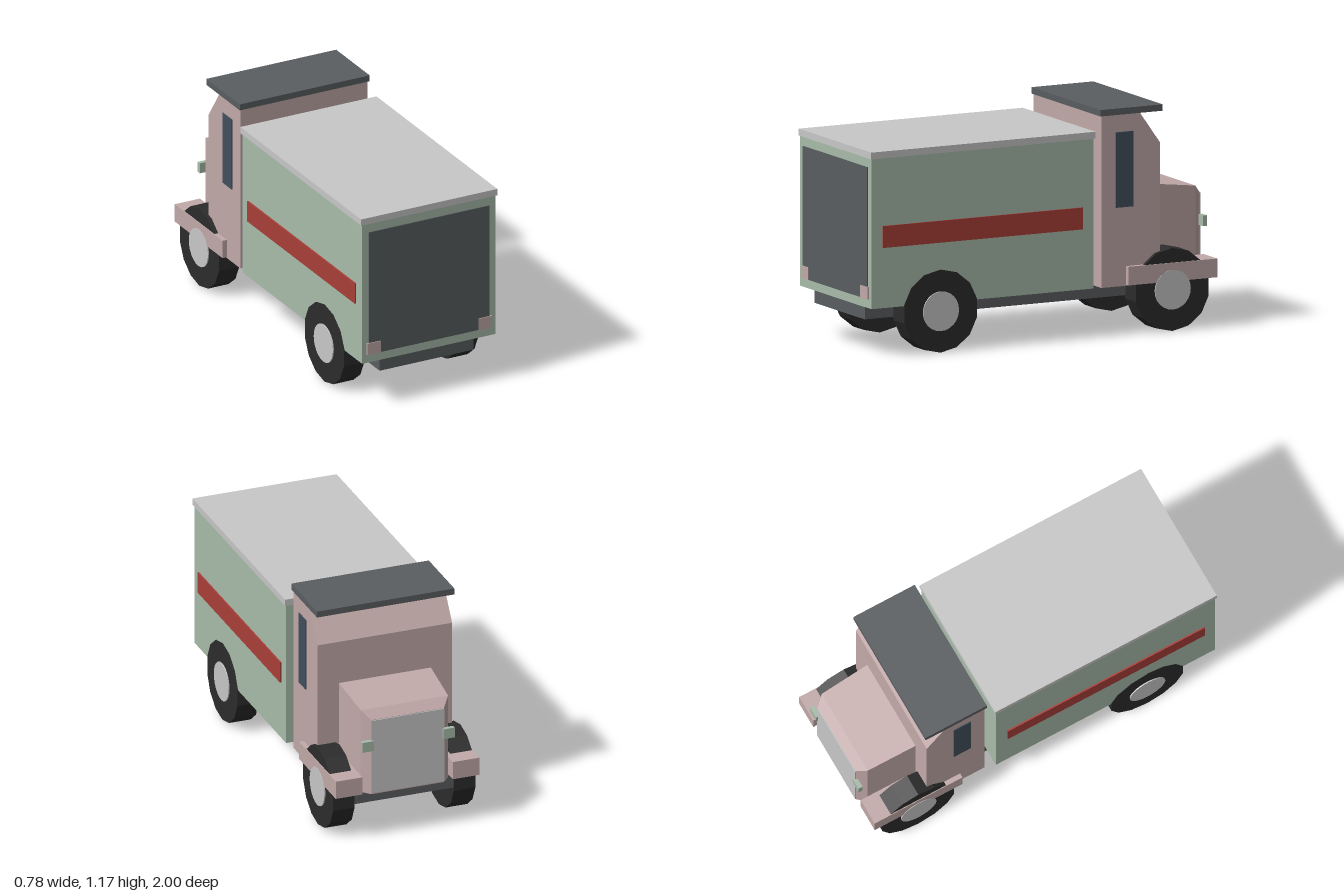
import * as THREE from 'three';
import { ConvexGeometry } from 'three/addons/geometries/ConvexGeometry.js';

const mat = (name, color) => {
  const m = new THREE.MeshStandardMaterial({ color, flatShading: true });
  m.name = name;
  return m;
};

export function createModel() {
  const truck = new THREE.Group();
  truck.name = 'deliveryTruck';

  const green = mat('paleGreen', 0xa8bcaa);
  const pink = mat('dustyPink', 0xc3aaaa);
  const grey = mat('lightGrey', 0xc8c8c8);
  const slate = mat('slateGrey', 0x5a5e61);
  const red = mat('stripeRed', 0xaa3f39);
  const glass = mat('darkBlueGlass', 0x414f5d);
  const rubber = mat('tyreBlack', 0x2c2c2c);

  const add = (name, geometry, material) => {
    const mesh = new THREE.Mesh(geometry, material);
    mesh.name = name;
    truck.add(mesh);
    return mesh;
  };
  // Box given by its extents on each axis
  const box = (name, material, [x0, x1], [y0, y1], [z0, z1]) => {
    const g = new THREE.BoxGeometry(x1 - x0, y1 - y0, z1 - z0);
    g.translate((x0 + x1) / 2, (y0 + y1) / 2, (z0 + z1) / 2);
    return add(name, g, material);
  };
  // The same box on both sides
  const pair = (name, material, [x0, x1], y, z) => {
    box(name + 'Left', material, [x0, x1], y, z);
    box(name + 'Right', material, [-x1, -x0], y, z);
  };

  // Chassis and cargo body
  box('chassis', slate, [-0.27, 0.27], [0.178, 0.25], [-0.935, 0.967]);
  box('cargoBody', green, [-0.383, 0.383], [0.25, 1.02], [-0.28, 0.99]);
  box('cargoRoof', grey, [-0.391, 0.391], [1.02, 1.055], [-0.287, 0.995]);
  box('rearDoor', slate, [-0.346, 0.346], [0.296, 0.973], [0.988, 0.996]);
  pair('tailLight', pink, [0.281, 0.358], [0.296, 0.36], [0.99, 1.0]);
  pair('sideStripe', red, [0.382, 0.391], [0.56, 0.672], [-0.215, 0.927]);

  // Cab, extruded across x from its side profile (z, y)
  const profile = new THREE.Shape([
    [-0.335, 0.245], [-0.335, 1.127], [-0.555, 1.127], [-0.67, 0.965], [-0.67, 0.245],
  ].map(([z, y]) => new THREE.Vector2(-z, y)));
  const cab = new THREE.ExtrudeGeometry(profile, { depth: 0.73, bevelEnabled: false });
  cab.translate(0, 0, -0.365);
  cab.rotateY(Math.PI / 2);
  add('cab', cab, pink);
  box('cabRoof', slate, [-0.373, 0.373], [1.127, 1.16], [-0.681, -0.326]);
  pair('cabWindow', glass, [0.363, 0.37], [0.65, 1.037], [-0.516, -0.417]);

  // Hood: sections of z, half width and top height
  const corners = [];
  for (const [z, w, top] of [[-0.66, 0.25, 0.736], [-0.94, 0.237, 0.7], [-0.985, 0.197, 0.657]]) {
    for (const x of [-w, w]) {
      corners.push(new THREE.Vector3(x, 0.243, z), new THREE.Vector3(x, top, z));
    }
  }
  add('hood', new ConvexGeometry(corners), pink);
  box('grille', grey, [-0.197, 0.197], [0.25, 0.655], [-0.99, -0.982]);
  pair('headlight', green, [0.188, 0.25], [0.49, 0.545], [-1.0, -0.977]);

  // Front mudguards, with the tyres rising through them
  pair('mudguard', pink, [0.245, 0.39], [0.25, 0.346], [-0.985, -0.477]);

  // Wheels: fourteen-sided tyres with round hubs
  const tyre = new THREE.CylinderGeometry(0.213, 0.213, 0.117, 14).rotateZ(Math.PI / 2);
  const hub = new THREE.CylinderGeometry(0.102, 0.102, 0.05, 24).rotateZ(Math.PI / 2);
  tyre.rotateX(Math.PI / 2);
  for (const [end, z] of [['front', -0.73], ['rear', 0.595]]) {
    for (const [side, s] of [['Left', 1], ['Right', -1]]) {
      add(`${end}Tyre${side}`, tyre, rubber).position.set(s * 0.3275, 0.2077, z);
      add(`${end}Hub${side}`, hub, grey).position.set(s * 0.367, 0.2077, z);
    }
  }
  // Tyre vertices sit level with the axle, so the tread rests flat on the ground
  return truck;
}
